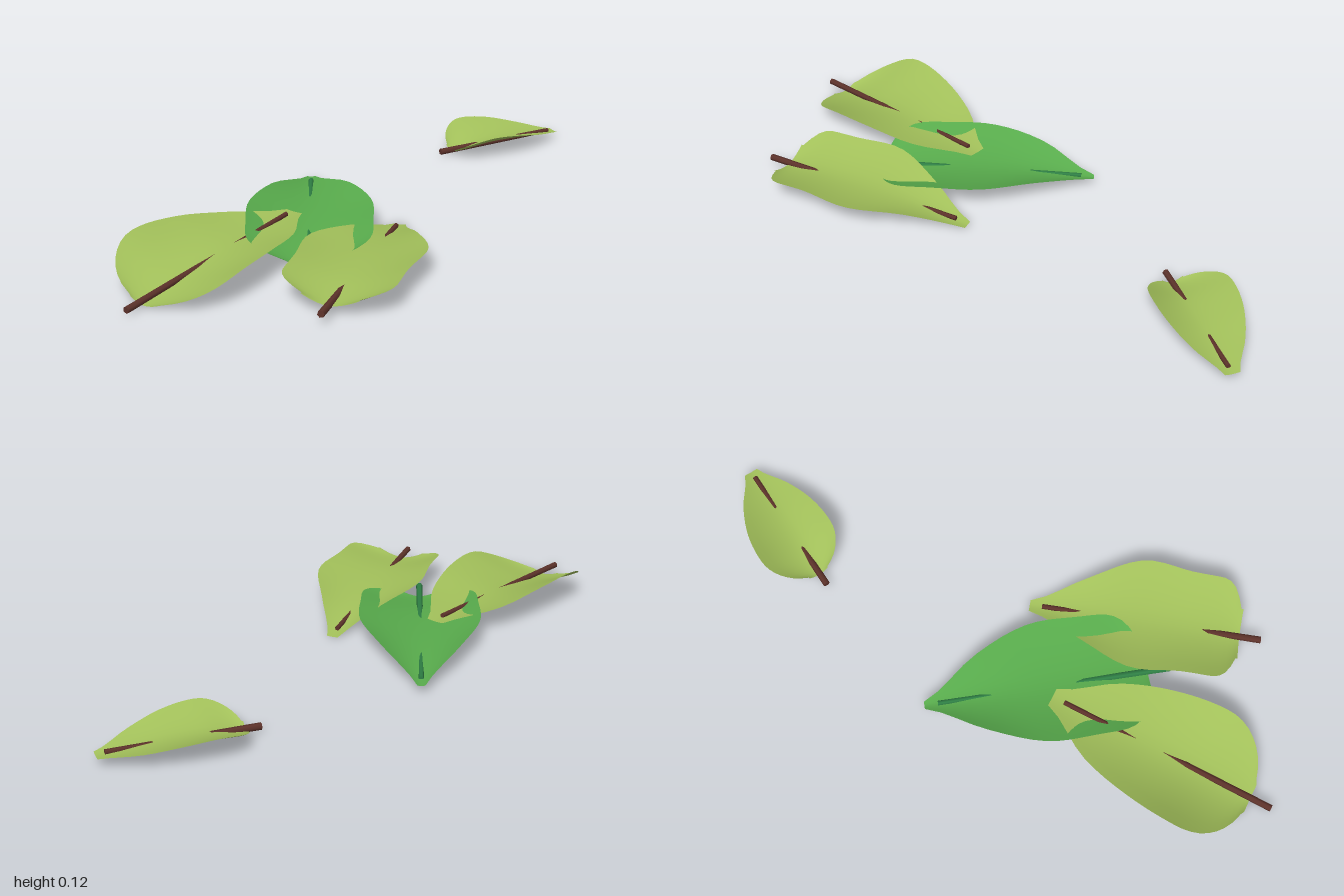
import * as THREE from 'three';

const mat = (name, color, side = THREE.FrontSide) => {
  const m = new THREE.MeshStandardMaterial({ color, side });
  m.name = name;
  return m;
};

// Smooth curve through evenly spaced values, read at t from 0 to 1
const curve = (values) => {
  const c = new THREE.SplineCurve(values.map((v, i) => new THREE.Vector2(i, v)));
  return (t) => c.getPoint(t).y;
};

// Cupped blade: cross-sections follow the axis from tip to rounded end
function bladeGeometry({ start, end, width, rightWidth, spine, rise, rightRise, round, blunt }) {
  const rows = 22, cols = 10;
  const axis = end.clone().sub(start);
  const side = new THREE.Vector2(axis.y, -axis.x).normalize();
  const widthAt = curve(width), spineAt = curve(spine), riseAt = curve(rise);
  const pos = [], idx = [];
  for (let i = 0; i <= rows; i++) {
    const t = 1 - Math.pow(1 - i / rows, 1.5);
    const u = Math.max(0, (t - round) / (1 - round));
    const taper = Math.max(blunt, Math.sqrt(1 - u ** 3));
    for (let j = 0; j <= cols; j++) {
      const s = (j / cols) * 2 - 1;
      const v = s * widthAt(t) * taper * (s > 0 ? rightWidth : 1);
      const lift = riseAt(t) * taper * (s > 0 ? rightRise : 1);
      pos.push(
        start.x + axis.x * t + side.x * v,
        spineAt(t) + lift * Math.abs(s) ** 1.7,
        start.y + axis.y * t + side.y * v,
      );
      if (i > 0 && j < cols) {
        const b = i * (cols + 1) + j, a = b - cols - 1;
        idx.push(a, b, a + 1, b, b + 1, a + 1);
      }
    }
  }
  const g = new THREE.BufferGeometry();
  g.setAttribute('position', new THREE.Float32BufferAttribute(pos, 3));
  g.setIndex(idx);
  g.computeVertexNormals();
  return g;
}

// Thin six-sided stem along the axis, reaching past the rounded end
function stemGeometry({ start, end, stemY }) {
  const p = start.clone().lerp(end, 0.06), q = start.clone().lerp(end, 1.1);
  const a = new THREE.Vector3(p.x, stemY[0], p.y);
  const b = new THREE.Vector3(q.x, stemY[1], q.y);
  const dir = b.clone().sub(a);
  const g = new THREE.CylinderGeometry(0.011, 0.008, dir.length(), 6);
  g.applyQuaternion(new THREE.Quaternion().setFromUnitVectors(
    new THREE.Vector3(0, 1, 0), dir.normalize()));
  const mid = a.add(b).multiplyScalar(0.5);
  return g.translate(mid.x, mid.y, mid.z);
}

function makeLeaf(name, leafMaterial, stemMaterial, shape) {
  const group = new THREE.Group();
  group.name = name;
  const blade = new THREE.Mesh(bladeGeometry(shape), leafMaterial);
  blade.name = 'blade';
  const stem = new THREE.Mesh(stemGeometry(shape), stemMaterial);
  stem.name = 'stem';
  group.add(blade, stem);
  return group;
}

export function createModel() {
  const paleLeaf = mat('pale leaf green', 0xa2c05a, THREE.DoubleSide);
  const deepLeaf = mat('deep leaf green', 0x58ab4c, THREE.DoubleSide);
  const brownStem = mat('brown stem', 0x5e332b);
  const greenStem = mat('green stem', 0x2f8045);
  const at = (x, z) => new THREE.Vector2(x, z);

  const model = new THREE.Group();
  model.name = 'fallenLeaves';

  model.add(makeLeaf('frontLeaf', paleLeaf, brownStem, {
    start: at(-0.2, 0.25), end: at(-0.2, 0.935),
    width: [0.03, 0.135, 0.188, 0.207, 0.19], rightWidth: 0.98,
    spine: [0.06, 0.058, 0.056, 0.034, 0.005],
    rise: [0.002, 0.028, 0.06, 0.088, 0.06], rightRise: 0.67,
    round: 0.72, blunt: 0.25, stemY: [0.066, 0.018],
  }));

  model.add(makeLeaf('sideLeaf', paleLeaf, brownStem, {
    start: at(0.058, 0.04), end: at(0.26, 0.69),
    width: [0.018, 0.1, 0.177, 0.165, 0.165], rightWidth: 1.06,
    spine: [0.005, 0.03, 0.044, 0.045, 0.03],
    rise: [0.001, 0.03, 0.044, 0.046, 0.056], rightRise: 0.95,
    round: 0.86, blunt: 0.5, stemY: [0.018, 0.037],
  }));

  model.add(makeLeaf('middleLeaf', deepLeaf, greenStem, {
    start: at(-0.4, -0.1), end: at(0.026, 0.478),
    width: [0.012, 0.12, 0.19, 0.192, 0.186], rightWidth: 1.03,
    spine: [0.028, 0.036, 0.038, 0.03, 0.01],
    rise: [0.002, 0.04, 0.045, 0.047, 0.055], rightRise: 1,
    round: 0.8, blunt: 0.3, stemY: [0.032, 0.02],
  }));

  model.add(makeLeaf('backLeaf', paleLeaf, brownStem, {
    start: at(0.05, -1), end: at(-0.161, -0.617),
    width: [0.025, 0.09, 0.13, 0.14, 0.12], rightWidth: 0.85,
    spine: [0.028, 0.035, 0.039, 0.034, 0.016],
    rise: [0.002, 0.018, 0.038, 0.052, 0.05], rightRise: 0.95,
    round: 0.72, blunt: 0.3, stemY: [0.034, 0.021],
  }));

  return model;
}
